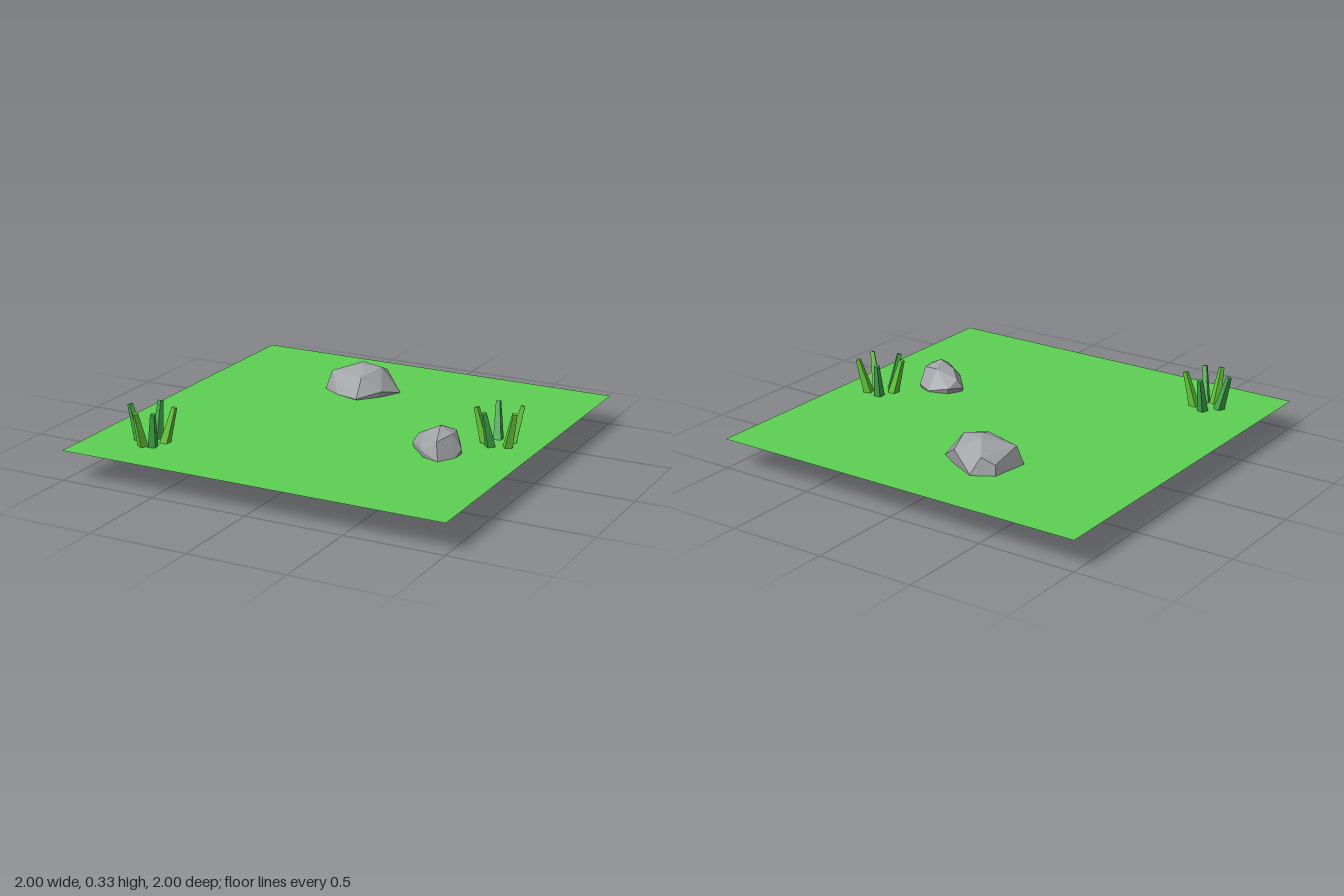
import * as THREE from 'three';
import { ConvexGeometry } from 'three/addons/geometries/ConvexGeometry.js';

const flat = (name, color, extra = {}) => {
  const m = new THREE.MeshStandardMaterial({ color, flatShading: true, ...extra });
  m.name = name;
  return m;
};

// Faceted boulder: convex hull of a few corner points
function rock(name, corners, material) {
  const mesh = new THREE.Mesh(new ConvexGeometry(corners.map((c) => new THREE.Vector3(...c))), material);
  mesh.name = name;
  return mesh;
}

// Tuft of tapered blades leaning outward; each blade is [heading in degrees, material]
function tuft(name, x, z, blades) {
  const group = new THREE.Group();
  group.name = name;
  group.position.set(x, 0.13, z);
  const up = new THREE.Vector3(0, 1, 0);
  blades.forEach(([deg, material]) => {
    const a = THREE.MathUtils.degToRad(deg);
    const out = new THREE.Vector3(Math.cos(a), 0, Math.sin(a));
    const base = out.clone().multiplyScalar(0.062).setY(0.005);
    const tip = out.clone().multiplyScalar(0.114).setY(0.197);
    const geo = new THREE.CylinderGeometry(0.014, 0.029, base.distanceTo(tip), 4);
    geo.rotateY(0.35 - a);
    const blade = new THREE.Mesh(geo, material);
    blade.name = 'grassBlade';
    blade.position.copy(base).add(tip).multiplyScalar(0.5);
    blade.quaternion.setFromUnitVectors(up, tip.sub(base).normalize());
    group.add(blade);
  });
  return group;
}

export function createModel() {
  const model = new THREE.Group();
  model.name = 'meadowTile';
  const lawn = flat('lawn green', 0x5dd153, { side: THREE.DoubleSide });
  const stone = flat('stone grey', 0x9fa2a5);
  const deep = flat('deep grass green', 0x43aa4b);
  const fresh = flat('fresh grass green', 0x64c73a);

  // Flat lawn cutting through the lower half of the stones
  const ground = new THREE.Mesh(new THREE.PlaneGeometry(2, 2).rotateX(-Math.PI / 2), lawn);
  ground.name = 'ground';
  ground.position.y = 0.15;
  model.add(ground);

  // Large stone at the back
  model.add(rock('largeRock', [
    [-0.17, 0.29, -0.5], [-0.08, 0.28, -0.53], [-0.2, 0.285, -0.56],
    [-0.13, 0.25, -0.4], [-0.33, 0.245, -0.46], [-0.25, 0.255, -0.45],
    [-0.26, 0.235, -0.65], [-0.1, 0.235, -0.64], [-0.32, 0.2, -0.62],
    [-0.225, 0.155, -0.69], [0.02, 0.15, -0.55], [-0.123, 0.155, -0.33],
    [-0.36, 0.13, -0.43], [-0.33, 0.14, -0.63], [-0.03, 0.18, -0.43], [-0.25, 0.15, -0.37],
    [-0.375, 0.04, -0.43], [-0.14, 0.04, -0.345], [0, 0.02, -0.55],
    [-0.1, 0, -0.42], [-0.1, 0, -0.6], [-0.3, 0.02, -0.61], [-0.28, 0.015, -0.45],
  ], stone));

  // Small stone at the front
  model.add(rock('smallRock', [
    [0.596, 0.287, 0.195], [0.65, 0.255, 0.13], [0.57, 0.26, 0.12],
    [0.66, 0.255, 0.2], [0.52, 0.25, 0.2], [0.62, 0.235, 0.29],
    [0.583, 0.155, 0.065], [0.652, 0.17, 0.085], [0.7, 0.18, 0.18],
    [0.69, 0.14, 0.24], [0.64, 0.15, 0.317], [0.55, 0.18, 0.295],
    [0.508, 0.2, 0.24], [0.438, 0.17, 0.17], [0.475, 0.18, 0.09], [0.463, 0.215, 0.15],
    [0.57, 0.048, 0.17], [0.62, 0.065, 0.27], [0.55, 0.075, 0.27],
    [0.67, 0.08, 0.18], [0.46, 0.118, 0.18], [0.6, 0.09, 0.1],
    [0.5, 0.1, 0.11], [0.685, 0.12, 0.14],
  ], stone));

  // Grass tufts
  model.add(tuft('frontTuft', -0.69, 0.7,
    [[262, deep], [178, deep], [336, fresh], [96, fresh], [52, deep]]));
  model.add(tuft('sideTuft', 0.79, -0.06,
    [[242, deep], [317, fresh], [161, fresh], [30, fresh], [109, deep]]));
  return model;
}
